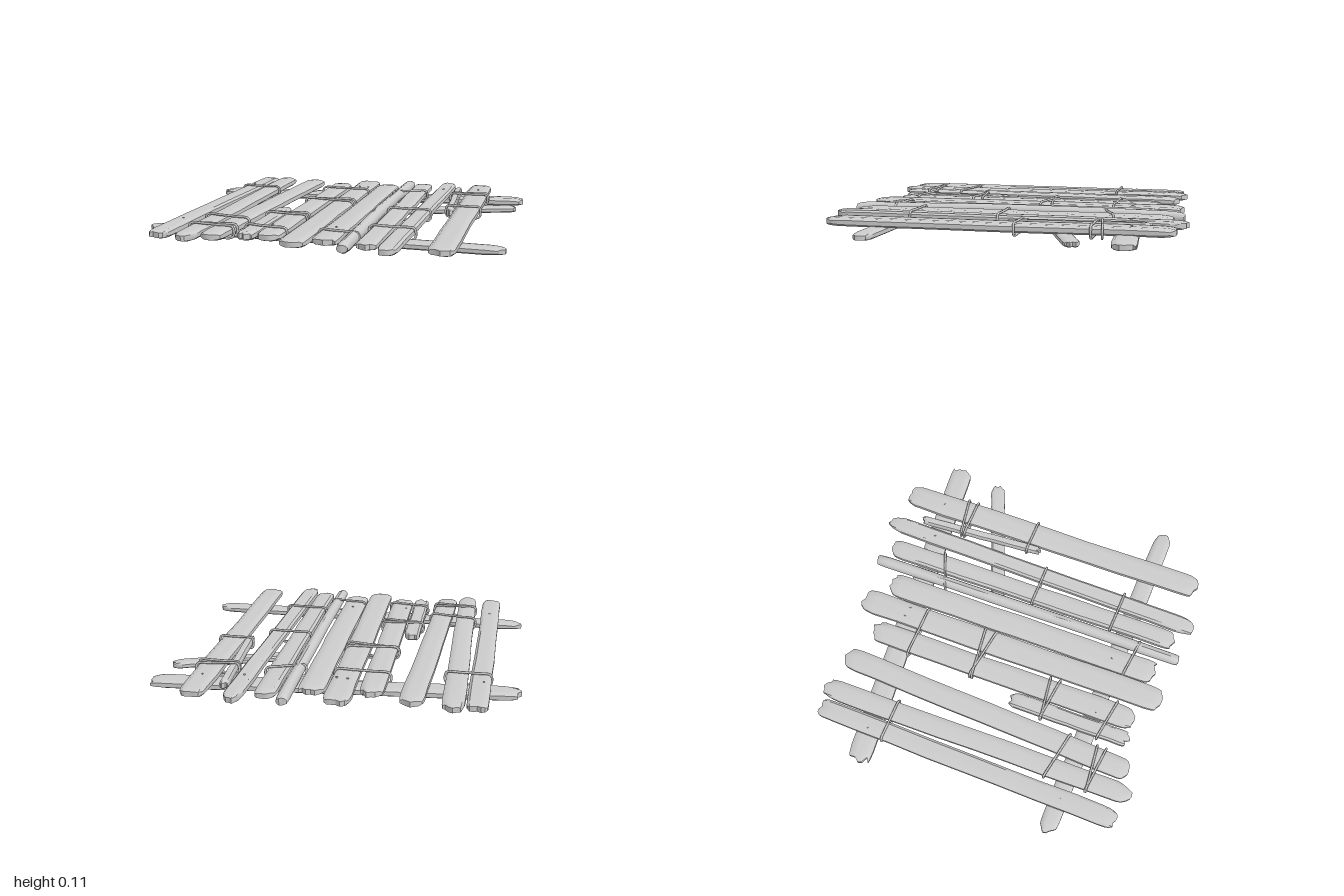
import * as THREE from 'three';
import { toCreasedNormals } from 'three/addons/utils/BufferGeometryUtils.js';

const material = new THREE.MeshStandardMaterial({ color: 0xcccccc });
const ACROSS = [-1, -0.75, -0.38, 0, 0.38, 0.75, 1];
const FLAT = [0.5, 0.92, 1, 0.97, 1, 0.92, 0.5];
const ROUND = [0.3, 0.7, 0.93, 1, 0.93, 0.7, 0.3];
const STATIONS = [0, 0.012, 0.035, 0.12, 0.25, 0.38, 0.5, 0.62, 0.75, 0.88, 0.965, 0.988, 1];
const TAPER = [0.6, 0.85, 1];

let seed = 7;
function rand() {
  seed = (seed * 16807) % 2147483647;
  return seed / 2147483647 * 2 - 1;
}

// Notch depths across a broken end: rounded corners plus splinters
function brokenEnd(corner, splinter) {
  const cuts = ACROSS.map((s) => corner * s * s + splinter * rand());
  const least = Math.min(...cuts);
  return cuts.map((c) => c - least);
}

// Worn board between two [x, z] points
function board(name, from, to, width, y, thick, corner, { section = FLAT, bow = 0, splinter = 0.014 } = {}) {
  const a = new THREE.Vector2(...from), b = new THREE.Vector2(...to);
  const len = a.distanceTo(b);
  const dir = b.clone().sub(a).divideScalar(len);
  const n = ACROSS.length, ring = n * 2, last = STATIONS.length - 1;
  const pos = [], index = [];
  const cutA = brokenEnd(corner, splinter), cutB = brokenEnd(corner, splinter);
  const grain = Array.from({ length: ring }, () => 1 + rand() * 0.05);

  STATIONS.forEach((t, j) => {
    const end = Math.min(j, last - j);
    const taper = end < 3 ? TAPER[end] : 1;
    const half = width / 2 * (end < 2 ? 0.9 + end * 0.07 : 1 + rand() * 0.035);
    const shift = end < 3 ? 0 : rand() * width * 0.02;
    const lift = bow * Math.sin(Math.PI * t) + (end < 3 ? 0 : rand() * 0.0015);
    for (let k = 0; k < ring; k++) {
      const i = k < n ? k : ring - 1 - k;
      const along = cutA[i] + (len - cutB[i] - cutA[i]) * t;
      const side = ACROSS[i] * half + shift;
      const h = section[i] * grain[k] * taper * thick / 2 * (k < n ? 1 : -1);
      pos.push(a.x + dir.x * along + dir.y * side, y + lift + h, a.y + dir.y * along - dir.x * side);
    }
  });
  for (let j = 0; j < last; j++) {
    for (let k = 0; k < ring; k++) {
      const p = j * ring + k, q = j * ring + (k + 1) % ring;
      index.push(p, p + ring, q + ring, p, q + ring, q);
    }
  }
  // End grain
  const e = last * ring;
  for (let i = 0; i < n - 1; i++) {
    const u = ring - 1 - i, v = u - 1;
    index.push(i, i + 1, v, i, v, u);
    index.push(e + i, e + v, e + i + 1, e + i, e + u, e + v);
  }
  const geo = new THREE.BufferGeometry();
  geo.setAttribute('position', new THREE.Float32BufferAttribute(pos, 3));
  geo.setIndex(index);
  const mesh = new THREE.Mesh(toCreasedNormals(geo, 0.6), material);
  mesh.name = name;
  return mesh;
}

// Closed cord loop wrapped round neighbouring boards
function lashing(x0, z0, x1, z1) {
  const low = 0.028, high = 0.09, mid = (low + high) / 2;
  const profile = [[0.04, high], [0.35, high + 0.002], [0.65, high + 0.002], [0.96, high], [1, mid + 0.015],
    [1, mid - 0.015], [0.96, low], [0.5, low - 0.004], [0.04, low], [0, mid - 0.015], [0, mid + 0.015]];
  const points = profile.map(([t, y]) => new THREE.Vector3(x0 + (x1 - x0) * t, y, z0 + (z1 - z0) * t));
  const path = new THREE.CatmullRomCurve3(points, true, 'centripetal');
  const mesh = new THREE.Mesh(new THREE.TubeGeometry(path, 48, 0.007, 6, true), material);
  mesh.name = 'lashing';
  return mesh;
}

export function createModel() {
  const model = new THREE.Group();
  model.name = 'plankRaft';

  // Supporting beams underneath
  const beams = new THREE.Group();
  beams.name = 'beams';
  beams.add(
    board('backBeam', [-0.99, -0.585], [0.995, -0.705], 0.13, 0.025, 0.046, 0.02, { splinter: 0.02 }),
    board('frontBeam', [-1, 0.56], [1, 0.648], 0.105, 0.022, 0.04, 0.045),
    board('braceBeam', [0.24, -0.185], [0.965, -0.455], 0.085, 0.025, 0.036, 0.02));
  model.add(beams);

  // Deck boards: back x, z, front x, z, width, corner rounding
  const deck = [
    [-0.765, -0.91, -0.805, 0.91, 0.112, 0.015],
    [-0.645, -0.94, -0.645, 0.95, 0.115, 0.05],
    [-0.43, -0.9, -0.515, 0.89, 0.125, 0.02],
    [-0.34, 0.105, -0.342, 0.84, 0.09, 0.02],
    [-0.218, -0.815, -0.22, 0.83, 0.13, 0.035],
    [-0.056, -0.945, -0.056, 0.945, 0.14, 0.015],
    [0.095, -0.825, 0.093, 0.86, 0.14, 0.02],
    [0.322, -0.91, 0.325, 0.91, 0.112, 0.02],
    [0.485, -0.995, 0.442, 0.99, 0.1, 0.055],
    [0.565, -0.81, 0.612, -0.04, 0.045, 0.015],
    [0.705, -0.945, 0.705, 0.94, 0.138, 0.02],
  ];
  const boards = new THREE.Group();
  boards.name = 'deckBoards';
  deck.forEach(([x0, z0, x1, z1, width, corner]) =>
    boards.add(board('deckBoard', [x0, z0], [x1, z1], width, 0.061, 0.048, corner)));
  // Round pole among the boards
  boards.add(board('pole', [0.217, -0.965], [0.22, 0.965], 0.063, 0.06, 0.066, 0.005,
    { section: ROUND, bow: 0.01, splinter: 0.004 }));
  model.add(boards);

  // Cord lashings: x, z of left and right ends
  const cords = [
    [-0.83, -0.5, -0.58, -0.49], [-0.71, 0.445, -0.425, 0.51], [-0.705, 0.69, -0.435, 0.73],
    [-0.705, 0.695, -0.435, 0.675], [-0.395, 0.31, -0.14, 0.35], [-0.395, 0.315, -0.14, 0.29],
    [-0.395, 0.655, -0.145, 0.705], [-0.295, -0.165, 0.015, -0.105], [-0.295, -0.15, 0.015, -0.175],
    [-0.295, -0.555, 0.015, -0.54], [0.18, -0.505, 0.39, -0.585], [0.025, 0.68, 0.25, 0.715],
    [0.26, 0.025, 0.515, 0.035], [0.26, 0.52, 0.515, 0.535], [0.55, -0.545, 0.785, -0.575],
    [0.55, -0.525, 0.785, -0.515], [0.58, -0.125, 0.785, -0.115],
  ];
  const lashings = new THREE.Group();
  lashings.name = 'lashings';
  cords.forEach((cord) => lashings.add(lashing(...cord)));
  model.add(lashings);

  // Nail heads
  const nails = new THREE.Group();
  nails.name = 'nails';
  const nailGeo = new THREE.CylinderGeometry(0.006, 0.007, 0.012, 8);
  [[-0.79, -0.6], [-0.075, -0.66], [-0.015, -0.65], [0.48, -0.69], [0.705, -0.715],
    [-0.795, 0.57], [-0.255, 0.61], [0.095, 0.59]].forEach(([x, z]) => {
    const nail = new THREE.Mesh(nailGeo, material);
    nail.name = 'nail';
    nail.position.set(x, 0.083, z);
    nails.add(nail);
  });
  model.add(nails);
  return model;
}
